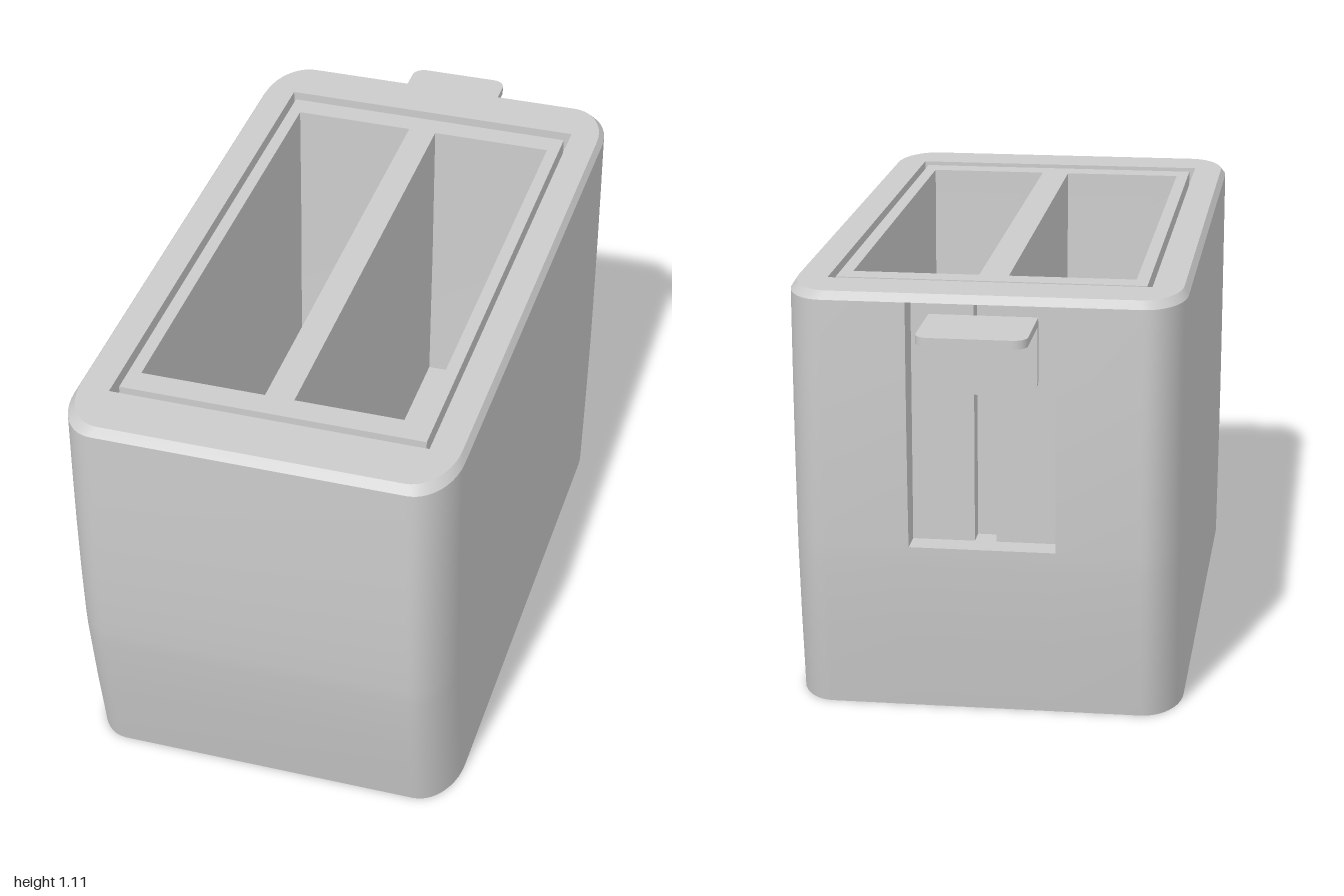
import * as THREE from 'three';
import { toCreasedNormals } from 'three/addons/utils/BufferGeometryUtils.js';

const material = new THREE.MeshStandardMaterial({ color: 0xcccccc, side: THREE.DoubleSide });

function add(group, name, geometry, x = 0, y = 0, z = 0) {
  const mesh = new THREE.Mesh(geometry, material);
  mesh.name = name;
  mesh.position.set(x, y, z);
  group.add(mesh);
  return mesh;
}

// Skin between closed loops of points; skip(row, column) leaves an opening
function loft(loops, skip = () => false) {
  const pos = [];
  for (let i = 0; i < loops.length - 1; i++) {
    const n = loops[i].length;
    for (let j = 0; j < n; j++) {
      if (skip(i, j)) continue;
      const k = (j + 1) % n;
      const [a, b, c, d] = [loops[i][j], loops[i][k], loops[i + 1][k], loops[i + 1][j]];
      for (const p of [a, b, c, a, c, d]) pos.push(p.x, p.y, p.z);
    }
  }
  const g = new THREE.BufferGeometry();
  g.setAttribute('position', new THREE.Float32BufferAttribute(pos, 3));
  return toCreasedNormals(g, 0.5);
}

// Horizontal rectangle, anticlockwise from above
const rect = (x0, x1, y, z0, z1) =>
  [[x1, z1], [x1, z0], [x0, z0], [x0, z1]].map(([x, z]) => new THREE.Vector3(x, y, z));

// Flat shape lying in the ground plane, from a loop and hole loops
function flatShape(loop, holes = []) {
  const flat = (l) => l.map((p) => new THREE.Vector2(p.x, -p.z));
  const shape = new THREE.Shape(flat(loop));
  shape.holes = holes.map((h) => new THREE.Path(flat(h)));
  return shape;
}
const cap = (loop, holes) => new THREE.ShapeGeometry(flatShape(loop, holes)).rotateX(-Math.PI / 2);

const RECESS = 0.187; // half width of the lever recess
const K = 10; // corner segments

// Rounded body outline with two extra points on the back edge for the recess
function bodyLoop(hx, y, z0, z1) {
  const rx = 0.1, rz = 0.16, pts = [];
  const corners = [[1, z0 + rz], [-1, z0 + rz], [-1, z1 - rz], [1, z1 - rz]];
  corners.forEach(([s, cz], q) => {
    for (let i = 0; i <= K; i++) {
      const t = (q + i / K) * Math.PI / 2;
      pts.push(new THREE.Vector3(s * (hx - rx) + rx * Math.cos(t), y, cz - rz * Math.sin(t)));
    }
    if (q === 0) for (const x of [RECESS, -RECESS]) pts.push(new THREE.Vector3(x, y, z0));
  });
  return pts;
}

// Plate with two rounded corners on its far (+y) edge
function tabShape(w, h, r) {
  const s = new THREE.Shape();
  s.moveTo(-w, 0);
  s.lineTo(w, 0);
  s.lineTo(w, h - r);
  s.absarc(w - r, h - r, r, 0, Math.PI / 2);
  s.absarc(r - w, h - r, r, Math.PI / 2, Math.PI);
  s.closePath();
  return s;
}
const tab = (w, h, r, depth) =>
  new THREE.ExtrudeGeometry(tabShape(w, h, r), { depth, bevelEnabled: false, curveSegments: 8 });

export function createModel() {
  const model = new THREE.Group();
  model.name = 'toaster';

  // Body shell: height, back z, front z
  const rows = [
    [0, -0.755, 0.905], [0.2, -0.785, 0.945], [0.4, -0.808, 0.979], [0.45, -0.811, 0.984],
    [0.6, -0.818, 0.993], [0.75, -0.823, 0.998], [0.9, -0.825, 1], [1.09, -0.825, 1],
  ];
  const loops = rows.map(([y, z0, z1]) => bodyLoop(0.5, y, z0, z1));
  const rim = bodyLoop(0.488, 1.11, -0.808, 0.98);
  add(model, 'bodyShell', loft([...loops, rim], (i, j) => j === K + 1 && i >= 3 && i < 7));
  add(model, 'base', cap(loops[0]).scale(1, -1, 1));

  // Top rim and the groove around the slot plate
  const grooveLoop = (y) => rect(-0.41, 0.41, y, -0.67, 0.835);
  add(model, 'topRim', cap(rim, [grooveLoop(0)]), 0, 1.11);
  add(model, 'grooveWall', loft([grooveLoop(1.11), grooveLoop(1.06)]));
  const slotLoop = (s, y, z0, z1) => rect(s * 0.2 - 0.162, s * 0.2 + 0.162, y, z0, z1);
  const slotTops = [1, -1].map((s) => slotLoop(s, 0, -0.575, 0.735));
  add(model, 'grooveFloor', cap(grooveLoop(0), slotTops), 0, 1.06);

  // Slot plate
  const plate = flatShape(rect(-0.395, 0.395, 0, -0.64, 0.805), slotTops);
  add(model, 'slotPlate', new THREE.ExtrudeGeometry(plate, { depth: 0.045, bevelEnabled: false })
    .rotateX(-Math.PI / 2), 0, 1.06);

  // Bread slots, tapering with the body
  for (const s of [1, -1]) {
    const walls = [[1.105, -0.575, 0.735], [0.7, -0.57, 0.728], [0.3, -0.555, 0.705]]
      .map(([y, z0, z1]) => slotLoop(s, y, z0, z1));
    add(model, 'breadSlot', loft(walls));
    add(model, 'breadSlotFloor', cap(walls[2]), 0, 0.3);
  }

  // Lever recess in the back, with a narrow guide slot
  const side = rows.slice(3);
  const opening = [
    ...side.map(([y, z]) => new THREE.Vector3(-RECESS, y, z)),
    ...side.map(([y, z]) => new THREE.Vector3(RECESS, y, z)).reverse(),
  ];
  const inner = opening.map((p) => new THREE.Vector3(p.x, p.y, -0.68));
  add(model, 'recessWall', loft([opening, inner]));
  const w = RECESS - 0.028;
  for (const s of [1, -1]) {
    add(model, 'recessPanel', new THREE.BoxGeometry(w, 0.64, 0.06), s * (0.028 + w / 2), 0.77, -0.71);
  }
  add(model, 'guideSlotBack', new THREE.BoxGeometry(0.06, 0.64, 0.005), 0, 0.77, -0.682);

  // Lever: flat handle, hanging plate and a stem into the guide slot
  const lever = new THREE.Group();
  lever.name = 'lever';
  add(lever, 'leverHandle', tab(0.137, 0.23, 0.035, 0.022).rotateX(-Math.PI / 2), 0, 1.027, -0.77);
  add(lever, 'leverPlate', tab(0.137, 0.19, 0.035, 0.022).rotateX(Math.PI), 0, 1.04, -0.765);
  add(lever, 'leverStem', new THREE.BoxGeometry(0.04, 0.12, 0.1), 0, 0.96, -0.73);
  model.add(lever);

  return model;
}
